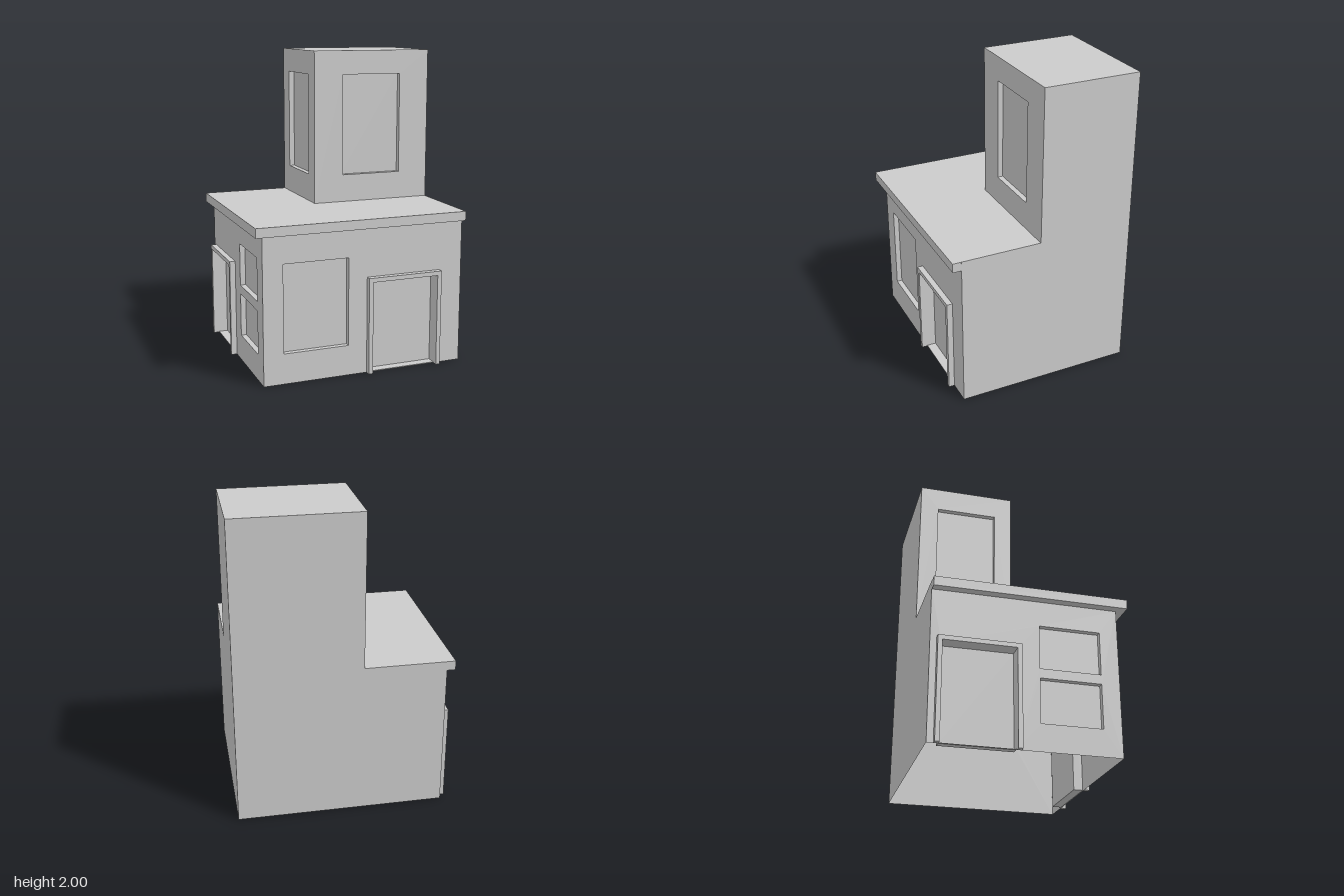
import * as THREE from 'three';

const material = new THREE.MeshStandardMaterial({
  color: 0xcccccc, flatShading: true, side: THREE.DoubleSide,
});

// Main dimensions
const RIGHT = 0.695, LEFT = -0.64, BACK = -0.605, FRONT = 0.55;
const TOWER_LEFT = -0.115, TOWER_FRONT = 0.025;
const SLAB_BOTTOM = 0.945, SLAB_TOP = 1.005, TOP = 2;

function addMesh(parent, name, geometry, x = 0, y = 0, z = 0) {
  const mesh = new THREE.Mesh(geometry, material);
  mesh.name = name;
  mesh.position.set(x, y, z);
  parent.add(mesh);
  return mesh;
}

function outline(points, Type = THREE.Shape) {
  return new Type(points.map(([x, y]) => new THREE.Vector2(x, y)));
}

const rect = (x0, x1, y0, y1) => [[x0, y0], [x1, y0], [x1, y1], [x0, y1]];

// Recess: four reveals and a back panel, sunk behind the wall plane
function addRecess(parent, name, { x0, x1, y0, y1, depth }) {
  const recess = new THREE.Group();
  recess.name = name;
  const w = x1 - x0, h = y1 - y0, cx = (x0 + x1) / 2, cy = (y0 + y1) / 2;
  addMesh(recess, 'panel', new THREE.PlaneGeometry(w, h), cx, cy, -depth);
  for (const side of [-1, 1]) {
    const jamb = addMesh(recess, 'jamb', new THREE.PlaneGeometry(depth, h),
      cx + side * w / 2, cy, -depth / 2);
    jamb.rotation.y = -side * Math.PI / 2;
    const ledge = addMesh(recess, 'ledge', new THREE.PlaneGeometry(w, depth),
      cx, cy + side * h / 2, -depth / 2);
    ledge.rotation.x = side * Math.PI / 2;
  }
  parent.add(recess);
}

// Flat wall facing its local +z, with recessed openings
function addWall(parent, name, points, openings = []) {
  const wall = new THREE.Group();
  wall.name = name;
  const shape = outline(points);
  for (const o of openings) {
    shape.holes.push(outline(rect(o.x0, o.x1, o.y0, o.y1).reverse(), THREE.Path));
    addRecess(wall, o.name, o);
    if (o.frame) addDoorFrame(wall, o);
  }
  addMesh(wall, 'wallSurface', new THREE.ShapeGeometry(shape));
  parent.add(wall);
  return wall;
}

// Raised surround on both sides and over the top of a door
function addDoorFrame(parent, { x0, x1, y1, frame }) {
  const a = x0 - frame, b = x1 + frame;
  const shape = outline([
    [a, 0], [x0, 0], [x0, y1], [x1, y1], [x1, 0], [b, 0], [b, y1 + frame], [a, y1 + frame],
  ]);
  addMesh(parent, 'doorFrame',
    new THREE.ExtrudeGeometry(shape, { depth: 0.037, bevelEnabled: false }));
}

const windowAt = (x0, x1, y0, y1) => ({ name: 'window', x0, x1, y0, y1, depth: 0.035 });
const doorAt = (x0, x1, y1) => ({ name: 'door', x0, x1, y0: 0.005, y1, depth: 0.06, frame: 0.028 });

export function createModel() {
  const model = new THREE.Group();
  model.name = 'house';

  // Lower storey: front and left walls
  const front = addWall(model, 'frontWall', rect(LEFT, RIGHT, 0, SLAB_TOP - 0.002), [
    windowAt(-0.51, -0.085, 0.195, 0.76),
    doorAt(0.067, 0.512, 0.597),
  ]);
  front.position.z = FRONT;

  const side = addWall(model, 'sideWall', rect(BACK, FRONT, 0, SLAB_BOTTOM), [
    doorAt(-0.537, -0.09, 0.612),
    windowAt(0.055, 0.435, 0.17, 0.45),
    windowAt(0.055, 0.435, 0.51, 0.785),
  ]);
  side.position.x = LEFT;
  side.rotation.y = -Math.PI / 2;

  // Tower: front and left walls above the roof slab
  const towerFront = addWall(model, 'towerFrontWall', rect(TOWER_LEFT, RIGHT, SLAB_TOP, TOP),
    [windowAt(0.085, 0.49, 1.185, 1.845)]);
  towerFront.position.z = TOWER_FRONT;

  const towerSide = addWall(model, 'towerSideWall', rect(BACK, TOWER_FRONT, SLAB_TOP, TOP),
    [windowAt(-0.485, -0.09, 1.185, 1.845)]);
  towerSide.position.x = TOWER_LEFT;
  towerSide.rotation.y = -Math.PI / 2;

  // Blank L-shaped walls running the full height
  const blank = addWall(model, 'blankSideWall', [
    [-FRONT, 0], [-BACK, 0], [-BACK, TOP], [-TOWER_FRONT, TOP],
    [-TOWER_FRONT, SLAB_TOP], [-FRONT, SLAB_TOP],
  ]);
  blank.position.x = RIGHT;
  blank.rotation.y = Math.PI / 2;

  const back = addWall(model, 'backWall', [
    [-RIGHT, 0], [-LEFT, 0], [-LEFT, SLAB_TOP], [-TOWER_LEFT, SLAB_TOP],
    [-TOWER_LEFT, TOP], [-RIGHT, TOP],
  ]);
  back.position.z = BACK;
  back.rotation.y = Math.PI;

  // Roofs: overhanging slab and flat tower top
  const x0 = -0.695, x1 = 0.692, z0 = -0.603, z1 = 0.605;
  addMesh(model, 'roofSlab',
    new THREE.BoxGeometry(x1 - x0, SLAB_TOP - SLAB_BOTTOM, z1 - z0),
    (x0 + x1) / 2, (SLAB_BOTTOM + SLAB_TOP) / 2, (z0 + z1) / 2);

  const towerRoof = addMesh(model, 'towerRoof',
    new THREE.PlaneGeometry(RIGHT - TOWER_LEFT, TOWER_FRONT - BACK),
    (RIGHT + TOWER_LEFT) / 2, TOP, (TOWER_FRONT + BACK) / 2);
  towerRoof.rotation.x = -Math.PI / 2;

  return model;
}
